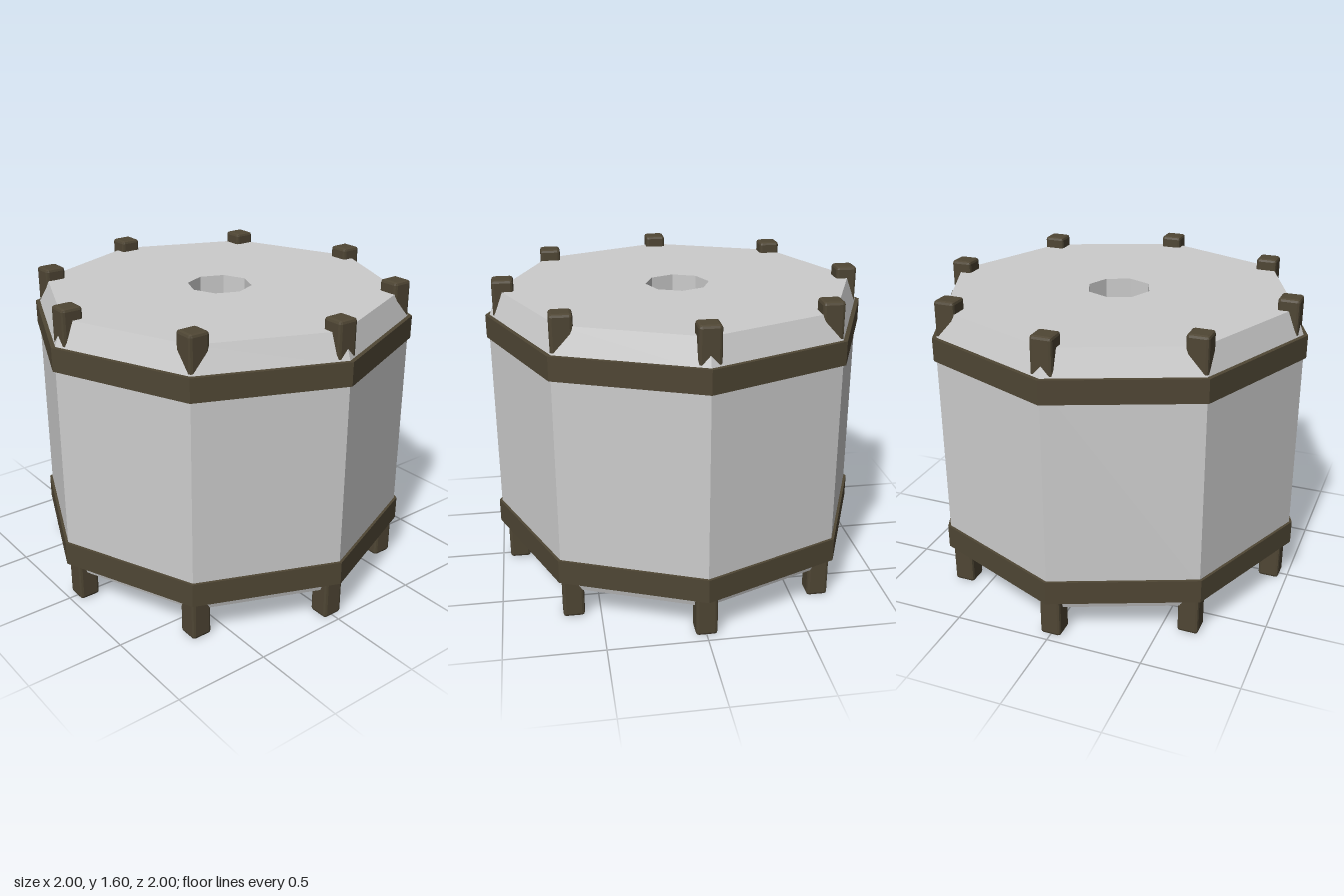
import * as THREE from 'three';
import { RoundedBoxGeometry } from 'three/addons/geometries/RoundedBoxGeometry.js';

const SIDES = 8;

// Faceted ring solid from a closed profile of [radius, y], running up the outside
function facetedRing(profile) {
  const points = profile.map(([r, y]) => new THREE.Vector2(r, y));
  points.push(points[0].clone());
  const geometry = new THREE.LatheGeometry(points, SIDES).toNonIndexed();
  geometry.computeVertexNormals();
  return geometry;
}

function bevelledPost(height) {
  const geometry = new RoundedBoxGeometry(0.11, height, 0.11, 1, 0.015);
  geometry.computeVertexNormals();
  return geometry;
}

export function createModel() {
  const model = new THREE.Group();
  model.name = 'octagonalDrum';

  const paleGrey = new THREE.MeshStandardMaterial({ color: 0xcccccc, flatShading: true });
  paleGrey.name = 'pale grey';
  const darkBronze = new THREE.MeshStandardMaterial({ color: 0x4f4634, flatShading: true });
  darkBronze.name = 'dark bronze';

  const add = (name, geometry, material) => {
    const mesh = new THREE.Mesh(geometry, material);
    mesh.name = name;
    model.add(mesh);
    return mesh;
  };

  // Chamfered drum with a hole through its axis
  add('drumBody', facetedRing([
    [0.938, 0.155], [0.985, 0.3], [0.985, 1.39], [0.929, 1.54], [0.168, 1.54], [0.168, 0.155],
  ]), paleGrey);

  // Bands around the drum
  for (const [name, low, high] of [['lowerBand', 0.215, 0.34], ['upperBand', 1.29, 1.41]]) {
    add(name, facetedRing([[1, low], [1, high], [0.95, high], [0.95, low]]), darkBronze);
  }

  // Square posts at each corner, all aligned with the axes
  const lowerPost = bevelledPost(0.34);
  const upperPost = bevelledPost(0.31);
  for (let i = 0; i < SIDES; i++) {
    const angle = (i / SIDES) * Math.PI * 2;
    const x = 0.903 * Math.sin(angle);
    const z = 0.903 * Math.cos(angle);
    add('lowerPost', lowerPost, darkBronze).position.set(x, 0.17, z);
    add('upperPost', upperPost, darkBronze).position.set(x, 1.445, z);
  }

  return model;
}
